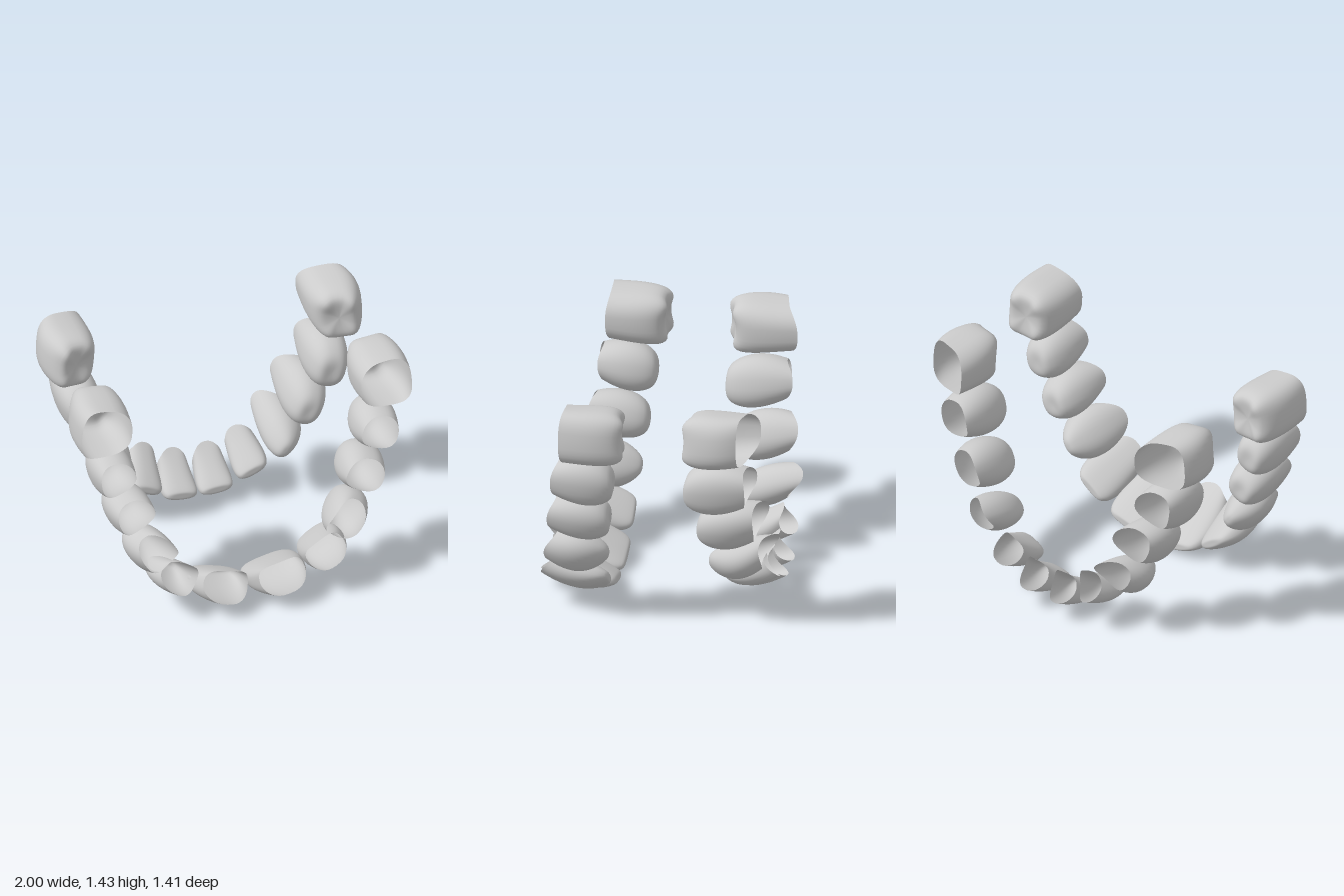
import * as THREE from 'three';

const SEG = 40, WALL = 16, CAP = 12;

// Each tooth: gum centre, bite centre, outward angle, half widths a and half depths b
// (gum, middle, bite), n = squareness of profile, p = squareness of section,
// lobes, cusp and tilt = chewing surface, s and l = scallop and tilt of the gum rim, bow = outward bulge
const UPPER = [
  { name: 'upperCentralIncisor', gum: [.165, .21, .64], bite: [.166, .07, .265], ang: 14, a: [.135, .172, .162], b: [.095, .09, .034], n: 7, p: 2.5, s: .035, l: .03, bow: .025 },
  { name: 'upperLateralIncisor', gum: [.43, .295, .605], bite: [.45, .2, .27], ang: 34, a: [.118, .138, .12], b: [.09, .088, .036], n: 6, p: 2.4, s: .03, l: .025, bow: .025 },
  { name: 'upperCanine', gum: [.555, .465, .58], bite: [.595, .43, .25], ang: 55, a: [.128, .147, .1], b: [.1, .118, .065], n: 3, p: 2.3, s: .04, l: 0, bow: .02 },
  { name: 'upperFirstPremolar', gum: [.68, .725, .55], bite: [.695, .68, .205], ang: 68, a: [.105, .142, .125], b: [.11, .132, .11], n: 3.2, p: 2.3, lobes: 2, cusp: .045, s: .02, l: .01, bow: .005 },
  { name: 'upperSecondPremolar', gum: [.78, .98, .52], bite: [.785, .945, .172], ang: 78, a: [.108, .15, .135], b: [.105, .13, .11], n: 3.2, p: 2.3, lobes: 2, cusp: .045, s: .015, l: .01, bow: 0 },
  { name: 'upperMolar', gum: [.835, 1.275, .472], bite: [.825, 1.265, .115], ang: 94, a: [.155, .164, .178], b: [.15, .163, .14], n: 4.5, p: 2.8, lobes: 4, cusp: .06, tilt: .015, s: .01, l: 0, bow: .003 },
];
const LOWER = [
  { name: 'lowerCentralIncisor', gum: [.105, .225, -.635], bite: [.105, .12, -.4], ang: 5, a: [.085, .102, .105], b: [.085, .075, .032], n: 7, p: 2.4, s: .03, l: .04, bow: .025 },
  { name: 'lowerLateralIncisor', gum: [.295, .305, -.63], bite: [.31, .215, -.38], ang: 23, a: [.085, .102, .1], b: [.085, .08, .034], n: 6, p: 2.4, s: .025, l: .035, bow: .025 },
  { name: 'lowerCanine', gum: [.49, .455, -.64], bite: [.485, .37, -.31], ang: 50, a: [.1, .12, .1], b: [.1, .117, .065], n: 3.2, p: 2.2, s: .025, l: -.04, bow: .02 },
  { name: 'lowerFirstPremolar', gum: [.61, .7, -.615], bite: [.61, .635, -.25], ang: 66, a: [.112, .152, .135], b: [.11, .127, .1], n: 3.2, p: 2.3, lobes: 2, cusp: .03, tilt: .01, s: .015, l: -.03, bow: .01 },
  { name: 'lowerSecondPremolar', gum: [.735, .965, -.575], bite: [.73, .92, -.19], ang: 78, a: [.112, .158, .145], b: [.11, .13, .11], n: 3.3, p: 2.4, lobes: 2, cusp: .04, tilt: .01, s: .015, l: -.02, bow: 0 },
  { name: 'lowerMolar', gum: [.79, 1.285, -.575], bite: [.785, 1.265, -.22], ang: 94, a: [.145, .162, .18], b: [.145, .16, .125], n: 4.5, p: 2.8, lobes: 4, cusp: .055, tilt: .045, s: .01, l: -.05, bow: .01 },
];

// Smooth curve through three values at t = 0, 0.5, 1
const through = ([p, q, r], t) => p * (1 - t) * (1 - 2 * t) + q * 4 * t * (1 - t) + r * t * (2 * t - 1);
const power = (v, e) => Math.sign(v) * Math.abs(v) ** e;

// Hollow crown: rings run from the open gum rim up the wall and over the biting end
function crownGeometry(d, side) {
  const corner = 0.5 ** (1 / d.n);
  const other = (v) => Math.max(0, 1 - v ** d.n) ** (1 / d.n);
  const rings = [];
  for (let i = 0; i <= WALL; i++) {
    const t = corner * i / WALL;
    rings.push([t, other(t)]);
  }
  for (let i = 1; i <= CAP; i++) {
    const r = corner * (1 - i / CAP);
    rings.push([other(r), r]);
  }
  const A = THREE.MathUtils.degToRad(d.ang);
  const out = [Math.sin(A), -Math.cos(A)], along = [Math.cos(A), Math.sin(A)];
  const toGum = Math.sign(d.gum[2]);
  const { lobes = 0, cusp = 0, tilt = 0 } = d;
  const pos = [], index = [];

  for (const [t, r] of rings) {
    const c = d.gum.map((g, k) => THREE.MathUtils.lerp(g, d.bite[k], t));
    const bow = d.bow * 4 * t * (1 - t);
    const a = through(d.a, t) * r, b = through(d.b, t) * r;
    for (let j = 0; j < SEG; j++) {
      const f = j / SEG * Math.PI * 2;
      // Sections are wider on the cheek side near the gum
      const egg = 1 + 0.14 * (1 - t) * Math.cos(f);
      const u = a * egg * power(Math.sin(f), 2 / d.p);
      const v = b * power(Math.cos(f), 2 / d.p) + bow;
      const rim = (d.s * Math.cos(2 * f) + d.l * Math.cos(f)) * (1 - t) ** 2;
      const wave = (lobes === 4 ? -1 : 1) * Math.cos(lobes * f);
      const bump = t ** 4 * (cusp * (r * r * (1 + 0.4 * wave) - 0.6) + tilt * r * Math.cos(f));
      pos.push(side * (c[0] + along[0] * u + out[0] * v),
        c[1] + along[1] * u + out[1] * v,
        c[2] + toGum * (rim - bump));
    }
  }
  const flip = side * toGum < 0;
  for (let i = 0; i < rings.length - 1; i++) {
    for (let j = 0; j < SEG; j++) {
      const k = (j + 1) % SEG;
      const p = i * SEG + j, q = i * SEG + k, s = p + SEG, w = q + SEG;
      if (flip) index.push(p, q, s, q, w, s);
      else index.push(p, s, q, q, s, w);
    }
  }
  const g = new THREE.BufferGeometry();
  g.setAttribute('position', new THREE.Float32BufferAttribute(pos, 3));
  g.setIndex(index);
  g.computeVertexNormals();
  // The last ring is a single point: share one normal there
  const nor = g.attributes.normal, last = (rings.length - 1) * SEG;
  const n = new THREE.Vector3(), m = new THREE.Vector3();
  for (let j = 0; j < SEG; j++) n.add(m.fromBufferAttribute(nor, last + j));
  n.normalize();
  for (let j = 0; j < SEG; j++) nor.setXYZ(last + j, n.x, n.y, n.z);
  return g;
}

export function createModel() {
  const model = new THREE.Group();
  model.name = 'dentalArches';
  const material = new THREE.MeshStandardMaterial({ color: 0xcccccc, side: THREE.DoubleSide });

  // Both arches, mirrored left and right
  for (const [name, teeth] of [['upperArch', UPPER], ['lowerArch', LOWER]]) {
    const arch = new THREE.Group();
    arch.name = name;
    for (const d of teeth) {
      for (const side of [1, -1]) {
        const tooth = new THREE.Mesh(crownGeometry(d, side), material);
        tooth.name = d.name + (side > 0 ? 'Left' : 'Right');
        arch.add(tooth);
      }
    }
    model.add(arch);
  }
  return model;
}
